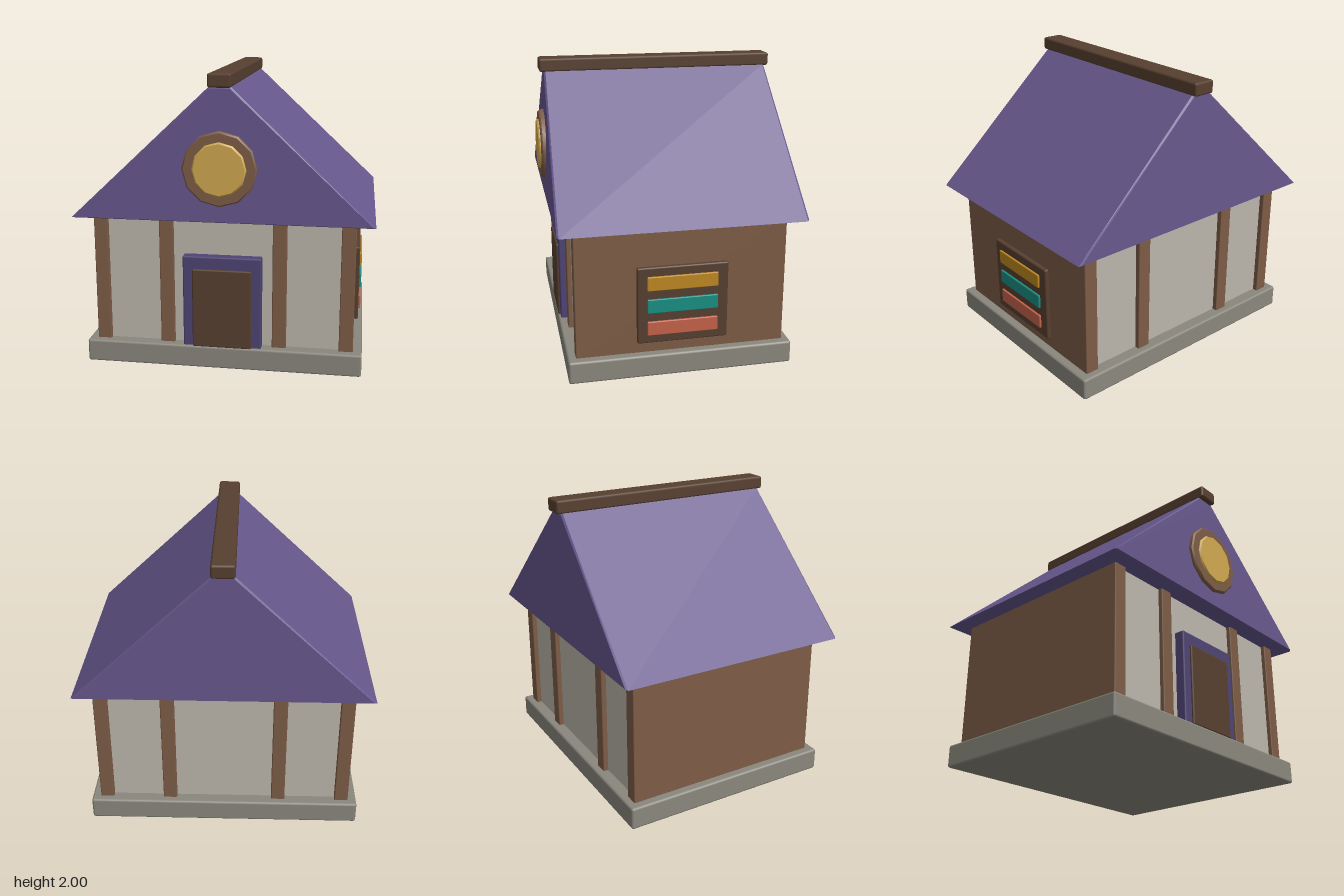
import * as THREE from 'three';
import { RoundedBoxGeometry } from 'three/addons/geometries/RoundedBoxGeometry.js';

const mat = (color) => new THREE.MeshStandardMaterial({ color });
const purple = mat(0x66578c), darkPurple = mat(0x4f4474), brown = mat(0x7d5c46), darkBrown = mat(0x573f30);
const stone = mat(0x8a877d), plaster = mat(0xbcb6ab), gold = mat(0xd0a850);
const amber = mat(0xbd8720), teal = mat(0x1a8f82), coral = mat(0xc46249);

// Chamfered box given by its extents on each axis
function box(name, material, [x0, x1], [y0, y1], [z0, z1], chamfer = 0.01) {
  const geometry = new RoundedBoxGeometry(x1 - x0, y1 - y0, z1 - z0, 1, chamfer);
  const mesh = new THREE.Mesh(geometry, material);
  mesh.name = name;
  mesh.position.set((x0 + x1) / 2, (y0 + y1) / 2, (z0 + z1) / 2);
  return mesh;
}

// Twelve-sided disc facing +z with a chamfered front rim
function disc(name, material, radius, z0, z1) {
  const c = 0.01, group = new THREE.Group();
  group.name = name;
  const side = new THREE.CylinderGeometry(radius, radius, z1 - z0 - c, 12);
  side.translate(0, (z0 + z1 - c) / 2, 0);
  const rim = new THREE.CylinderGeometry(radius - c, radius, c, 12);
  rim.translate(0, z1 - c / 2, 0);
  for (const geometry of [side, rim]) {
    geometry.rotateX(Math.PI / 2);
    group.add(new THREE.Mesh(geometry, material));
  }
  group.position.y = 1.395;
  return group;
}

// Solid gabled roof whose end faces lean inward towards the ridge
function roof() {
  const shape = new THREE.Shape([
    new THREE.Vector2(-1, 1.04), new THREE.Vector2(1, 1.04),
    new THREE.Vector2(0.07, 1.915), new THREE.Vector2(-0.07, 1.915),
  ]);
  const bevel = 0.012, depth = 1.63;
  const geometry = new THREE.ExtrudeGeometry(shape, {
    depth: depth - 2 * bevel, bevelThickness: bevel, bevelSize: bevel,
    bevelOffset: -bevel, bevelSegments: 1,
  });
  geometry.translate(0, 0, -depth / 2 + bevel);
  const p = geometry.attributes.position;
  for (let i = 0; i < p.count; i++) {
    const t = (p.getY(i) - 1.04) / 0.875;
    p.setZ(i, p.getZ(i) * (1 - 0.035 * t) - 0.013);
  }
  geometry.computeVertexNormals();
  const mesh = new THREE.Mesh(geometry, purple);
  mesh.name = 'roof';
  return mesh;
}

export function createModel() {
  const house = new THREE.Group();
  house.name = 'house';

  // Plinth and plaster walls
  house.add(box('plinth', stone, [-0.94, 0.94], [0, 0.155], [-0.77, 0.75], 0.015));
  house.add(box('plasterWalls', plaster, [-0.86, 0.86], [0.14, 1.06], [-0.685, 0.665]));

  // Timber side walls and posts on front and back
  for (const s of [-1, 1]) {
    const outer = [s * 0.785, s * 0.88].sort((a, b) => a - b);
    const inner = [s * 0.335, s * 0.43].sort((a, b) => a - b);
    house.add(box('sideWall', brown, outer, [0.14, 1.06], [-0.72, 0.695], 0.006));
    house.add(box('frontPost', brown, inner, [0.14, 1.06], [0.62, 0.695], 0.006));
    house.add(box('backPost', brown, inner, [0.14, 1.06], [-0.72, -0.64], 0.006));
  }

  // Door
  house.add(box('doorFrame', darkPurple, [-0.265, 0.265], [0.14, 0.785], [0.64, 0.732]));
  house.add(box('door', darkBrown, [-0.2, 0.2], [0.15, 0.7], [0.66, 0.747]));

  // Striped panel on the left side
  house.add(box('panelFrame', darkBrown, [0.86, 0.908], [0.23, 0.765], [-0.32, 0.29]));
  [amber, teal, coral].forEach((material, i) => {
    const y = 0.655 - i * 0.158;
    house.add(box('panelStripe', material, [0.88, 0.922], [y - 0.049, y + 0.049], [-0.25, 0.225], 0.006));
  });

  // Roof, ridge beam and round gable window
  house.add(roof());
  house.add(box('ridgeBeam', darkBrown, [-0.077, 0.077], [1.91, 2], [-0.83, 0.805], 0.015));
  house.add(disc('roundWindowFrame', brown, 0.245, 0.74, 0.82));
  house.add(disc('roundWindowPane', gold, 0.178, 0.76, 0.835));

  return house;
}
